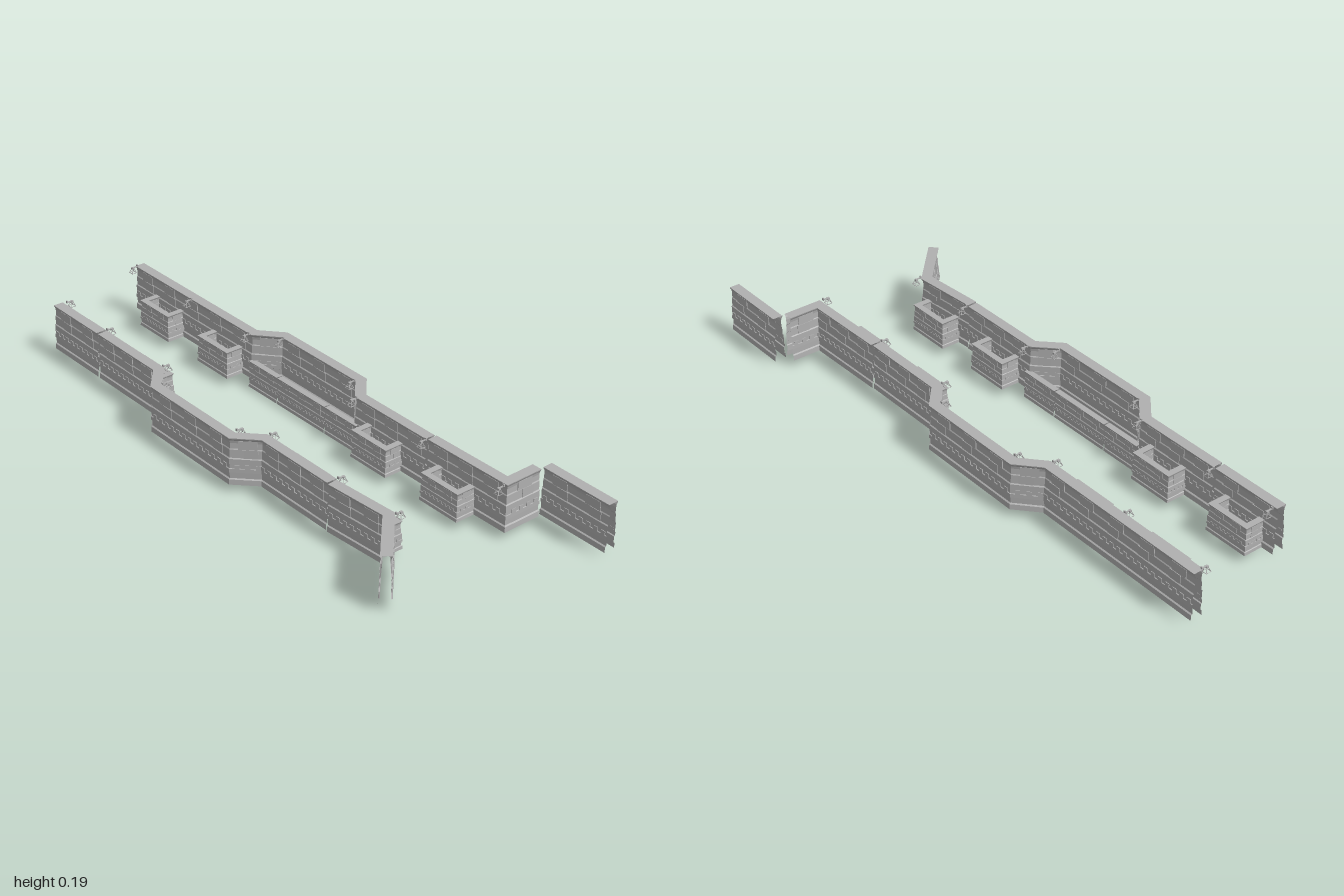
import * as THREE from 'three';
import { mergeGeometries } from 'three/addons/utils/BufferGeometryUtils.js';

// The swept walls are open at foot and ends, so both sides are drawn
const wallGrey = new THREE.MeshStandardMaterial({ color: 0xb0b0b0, side: THREE.DoubleSide });
wallGrey.name = 'wall grey';
wallGrey.flatShading = true;

// One side of the wall section: half-width, height above the foot
const SIDE = [
  [0.0195, 0], [0.0185, 0.017], [0.0145, 0.020], [0.015, 0.039], [0.0182, 0.041],
  [0.0182, 0.053], [0.016, 0.054], [0.0165, 0.085], [0.0135, 0.088], [0.013, 0.115],
  [0.011, 0.118], [0.0108, 0.136], [0.0125, 0.145], [0.0165, 0.152], [0.017, 0.155],
];

// Banded wall swept along an [x, z] path with mitred corners
function sweep(path, scale, foot) {
  const section = [...SIDE, ...SIDE.map(([u, y]) => [-u, y]).reverse()];
  const dirs = path.slice(1).map((p, i) =>
    new THREE.Vector2(p[0] - path[i][0], p[1] - path[i][1]).normalize());
  const rings = path.map(([x, z], i) => {
    const a = dirs[Math.max(i - 1, 0)], b = dirs[Math.min(i, dirs.length - 1)];
    const t = a.clone().add(b).normalize();
    const stretch = scale / t.dot(a);
    return section.map(([u, y]) =>
      [x - t.y * u * stretch, foot + y * scale, z + t.x * u * stretch]);
  });
  const pos = [];
  for (let i = 0; i + 1 < rings.length; i++) {
    for (let j = 0; j + 1 < section.length; j++) {
      const a = rings[i][j], b = rings[i][j + 1], c = rings[i + 1][j + 1], e = rings[i + 1][j];
      pos.push(...a, ...e, ...c, ...a, ...c, ...b);
    }
  }
  const geo = new THREE.BufferGeometry();
  geo.setAttribute('position', new THREE.Float32BufferAttribute(pos, 3));
  geo.computeVertexNormals();
  return geo;
}

// Raised plates and teeth on both faces of each straight run
function reliefs(path, scale, foot) {
  const blocks = [], teeth = [];
  for (let i = 0; i + 1 < path.length; i++) {
    const [x0, z0] = path[i], [x1, z1] = path[i + 1];
    const len = Math.hypot(x1 - x0, z1 - z0);
    const angle = Math.atan2(x1 - x0, z1 - z0);
    const add = (list, t, width, y0, y1, inner, outer) => {
      for (const side of [-1, 1]) {
        const g = new THREE.BoxGeometry((outer - inner) * scale, (y1 - y0) * scale, width * scale);
        g.translate(side * (inner + outer) / 2 * scale, 0, 0);
        g.rotateY(angle);
        g.translate(x0 + (x1 - x0) * t, foot + (y0 + y1) / 2 * scale, z0 + (z1 - z0) * t);
        list.push(g);
      }
    };
    const nBlocks = Math.max(1, Math.round(len / (0.115 * scale)));
    for (let k = 0; k < nBlocks; k++) {
      add(blocks, (k + 0.5) / nBlocks, 0.055, 0.116, 0.145, 0.0105, 0.0135);
      add(blocks, (k + 0.6) / nBlocks, 0.042, 0.088, 0.116, 0.0125, 0.0152);
    }
    const nTeeth = Math.max(2, Math.round(len / (0.028 * scale)));
    for (let k = 0; k < nTeeth; k++) {
      add(teeth, (k + 0.5) / nTeeth, 0.015, 0.053, 0.066, 0.0155, 0.0182);
    }
  }
  return { blocks: mergeGeometries(blocks), teeth: mergeGeometries(teeth) };
}

function wall(name, path, scale = 1, foot = 0.027) {
  const g = new THREE.Group();
  g.name = name;
  const { blocks, teeth } = reliefs(path, scale, foot);
  for (const [part, geo] of [['bandedWall', sweep(path, scale, foot)], ['raisedPlates', blocks], ['toothedTrim', teeth]]) {
    const m = new THREE.Mesh(geo, wallGrey);
    m.name = part;
    g.add(m);
  }
  return g;
}

// Hanging lamp: bracket, head and an open splayed frame
function lamp(x, z, towardWall) {
  const g = new THREE.Group();
  g.name = 'hangingLamp';
  const add = (name, geo, px, py) => {
    const m = new THREE.Mesh(geo, wallGrey);
    m.name = name;
    m.position.set(px, py, 0);
    g.add(m);
    return m;
  };
  add('bracket', new THREE.BoxGeometry(0.02, 0.003, 0.004), towardWall * 0.009, 0.182);
  add('head', new THREE.BoxGeometry(0.008, 0.006, 0.008), 0, 0.18);
  add('clamp', new THREE.BoxGeometry(0.004, 0.008, 0.007), towardWall * 0.018, 0.184);
  for (let k = 0; k < 4; k++) {
    const a = k * Math.PI / 2 + Math.PI / 4;
    const c = Math.cos(a), s = Math.sin(a);
    const leg = new THREE.TubeGeometry(new THREE.LineCurve3(
      new THREE.Vector3(c * 0.004, 0.178, s * 0.004),
      new THREE.Vector3(c * 0.0125, 0.164, s * 0.0125)), 1, 0.0012, 4);
    add('frameLeg', leg, 0, 0);
  }
  const rim = add('squareRim', new THREE.TorusGeometry(0.0125, 0.0012, 4, 4), 0, 0.1645);
  rim.rotation.set(Math.PI / 2, 0, Math.PI / 4);
  g.position.set(x, 0, z);
  return g;
}

export function createModel() {
  const model = new THREE.Group();
  model.name = 'trenchWalls';

  // Tall walls, right side (-x)
  model.add(
    wall('rightRearWall', [[-0.205, -0.925], [-0.205, -0.684]]),
    wall('rightBayWall', [[-0.205, -0.676], [-0.205, -0.377], [-0.271, -0.30],
      [-0.271, 0.068], [-0.205, 0.135], [-0.205, 0.432]]),
    wall('rightFrontWall', [[-0.208, 0.438], [-0.193, 0.655], [-0.33, 0.80]]));

  // Tall walls, left side (+x)
  model.add(
    wall('leftRearWall', [[0.162, -0.99], [0.162, -0.377], [0.226, -0.305],
      [0.226, 0.058], [0.162, 0.13], [0.162, 0.432]]),
    wall('leftFrontWall', [[0.165, 0.438], [0.17, 0.738], [0.285, 0.738]]),
    wall('leftEndWall', [[0.314, 0.75], [0.314, 1.0]]));

  // Low three-sided bays on the inner faces
  const low = 0.59;
  for (const z of [-0.805, -0.493, 0.257, 0.558]) {
    for (const [name, back, front] of [['rightLowBay', -0.19, -0.132], ['leftLowBay', 0.15, 0.093]]) {
      model.add(wall(name, [[back, z - 0.066], [front, z - 0.066], [front, z + 0.066], [back, z + 0.066]], low));
    }
  }

  // Low sunken walls across the wide bays
  for (const [name, x] of [['rightSunkenWall', -0.187], ['leftSunkenWall', 0.146]]) {
    for (const [z0, z1] of [[-0.373, -0.234], [-0.23, -0.006], [-0.002, 0.14]]) {
      model.add(wall(name, [[x, z0], [x, z1]], low, 0));
    }
  }

  // Lamps along the wall tops
  const lampsRight = [[-0.16, -0.915], [-0.166, -0.68], [-0.168, -0.38], [-0.233, -0.295],
    [-0.225, 0.056], [-0.165, 0.135], [-0.165, 0.435], [-0.16, 0.668]];
  const lampsLeft = [[0.13, -0.985], [0.125, -0.68], [0.125, -0.38], [0.188, -0.288],
    [0.188, 0.05], [0.125, 0.132], [0.125, 0.435], [0.125, 0.75]];
  for (const [x, z] of lampsRight) model.add(lamp(x, z, -1));
  for (const [x, z] of lampsLeft) model.add(lamp(x, z, 1));

  return model;
}
